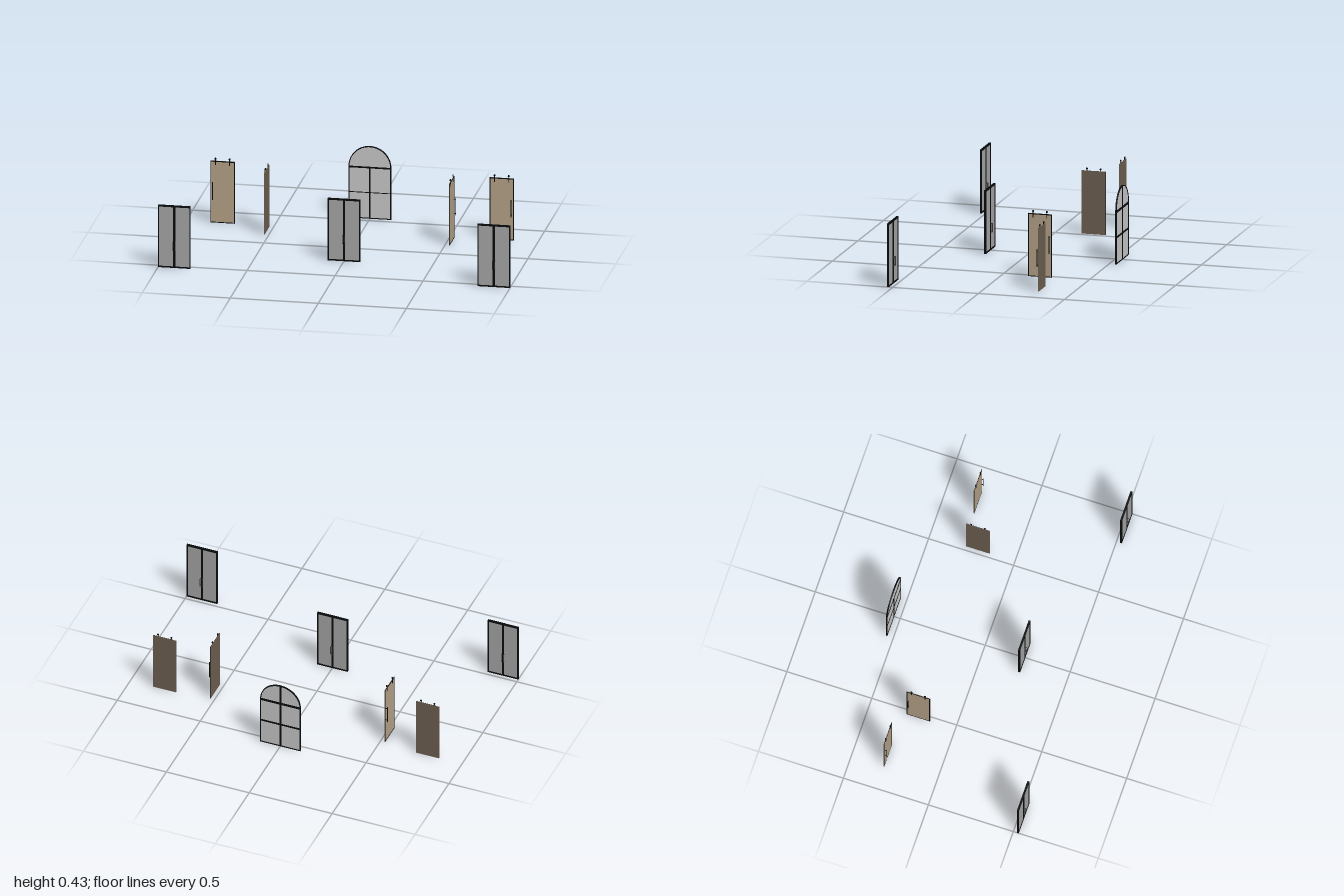
import * as THREE from 'three';

const mat = (name, color, side = THREE.FrontSide) => {
  const m = new THREE.MeshStandardMaterial({ color, side });
  m.name = name;
  return m;
};
const black = mat('black metal', 0x080a0b);
const steel = mat('handle steel', 0x3a3a3a);
const glass = mat('smoked glass', 0xa5a5a5);
const paleGlass = mat('pale glass', 0xc8c8c8);
const wood = mat('light wood', 0xb3a187);
const backWood = mat('dark wood', 0x6d5f50);

function add(group, name, geometry, material, x = 0, y = 0, z = 0) {
  const mesh = new THREE.Mesh(geometry, material);
  mesh.name = name;
  mesh.position.set(x, y, z);
  group.add(mesh);
  return mesh;
}
const box = (group, name, material, w, h, d, x, y, z) =>
  add(group, name, new THREE.BoxGeometry(w, h, d), material, x, y, z);

// Four bars around a rectangle standing on y = 0
function rectFrame(group, name, w, h, side, top, depth, z) {
  for (const s of [-1, 1]) box(group, name + 'Side', black, side, h, depth, s * (w - side) / 2, h / 2, z);
  box(group, name + 'Top', black, w - 2 * side, top, depth, 0, h - top / 2, z);
  box(group, name + 'Bottom', black, w - 2 * side, top * 0.8, depth, 0, top * 0.4, z);
}

// Framed glass double door with pull handles on both faces
function doubleDoor() {
  const g = new THREE.Group();
  g.name = 'doubleDoor';
  const w = 0.184, h = 0.365, depth = 0.011;
  rectFrame(g, 'doorFrame', w, h, 0.006, 0.009, depth, 0);
  box(g, 'centreStile', black, 0.012, h - 0.016, depth, 0, h / 2, 0);
  for (const s of [-1, 1]) {
    box(g, 'glassPane', glass, 0.081, h - 0.016, 0.004, s * 0.0455, h / 2, 0);
    for (const x of [-0.007, 0.007]) {
      box(g, 'pullHandle', steel, 0.003, 0.052, 0.003, x, 0.129, s * 0.0145);
      for (const y of [0.1045, 0.1535])
        box(g, 'handleStandoff', steel, 0.003, 0.003, 0.011, x, y, s * 0.0095);
    }
  }
  return g;
}

// Hanging wooden door; side is the x direction of its handle
function slidingDoor(side) {
  const g = new THREE.Group();
  g.name = 'slidingDoor';
  const w = 0.139, h = 0.363, t = 0.003;
  box(g, 'doorPanel', [backWood, backWood, backWood, backWood, wood, backWood], w, h, t, 0, h / 2, 0);
  rectFrame(g, 'frontTrim', w, h, 0.005, 0.006, 0.001, t / 2 + 0.0005);
  // Roller hangers
  for (const x of [-0.04, 0.04]) {
    box(g, 'hangerStrap', black, 0.004, 0.04, 0.002, x, 0.358, 0.0028);
    const wheel = add(g, 'hangerWheel', new THREE.CylinderGeometry(0.0055, 0.0055, 0.005, 16), black, x, 0.3755, 0.0005);
    wheel.rotation.x = Math.PI / 2;
  }
  // Pull bar
  const x = side * 0.056;
  box(g, 'pullBar', black, 0.005, 0.104, 0.003, x, 0.189, 0.0125);
  for (const y of [0.149, 0.229]) box(g, 'barStandoff', black, 0.003, 0.003, 0.011, x, y, 0.0065);
  return g;
}

function archShape(Type, r, bottom, spring) {
  const s = new Type();
  s.moveTo(-r, bottom);
  s.lineTo(r, bottom);
  s.lineTo(r, spring);
  s.absarc(0, spring, r, 0, Math.PI, false);
  s.lineTo(-r, bottom);
  return s;
}

// Round-topped window with glazing bars, heavier on the back
function archedWindow() {
  const g = new THREE.Group();
  g.name = 'archedWindow';
  const r = 0.121, spring = 0.304, depth = 0.008;
  const extrude = (shape, d) => new THREE.ExtrudeGeometry(shape, { depth: d, bevelEnabled: false, curveSegments: 32 });
  const frame = archShape(THREE.Shape, r, 0, spring);
  frame.holes.push(archShape(THREE.Path, r - 0.005, 0.005, spring));
  add(g, 'archFrame', extrude(frame, depth), black, 0, 0, -depth / 2);
  add(g, 'archGlass', extrude(archShape(THREE.Shape, r - 0.004, 0.004, spring), 0.002), paleGlass, 0, 0, -0.001);
  const inner = 2 * r - 0.008;
  // Front bars
  box(g, 'frontSpringBar', black, inner, 0.009, 0.003, 0, 0.3, 0.0025);
  box(g, 'frontMiddleBar', black, inner, 0.004, 0.003, 0, 0.153, 0.0025);
  box(g, 'frontMullion', black, 0.007, 0.292, 0.003, 0, 0.15, 0.0025);
  // Back bars
  box(g, 'backSpringBar', black, inner, 0.013, 0.003, 0, 0.3, -0.0025);
  box(g, 'backMiddleBar', black, inner, 0.01, 0.003, 0, 0.153, -0.0025);
  box(g, 'backMullion', black, 0.011, 0.416, 0.003, 0, 0.212, -0.0025);
  return g;
}

export function createModel() {
  const model = new THREE.Group();
  model.name = 'doorSet';
  const place = (part, x, z, turn = 0) => {
    part.position.set(x, 0, z);
    part.rotation.y = turn;
    model.add(part);
  };
  place(doubleDoor(), 0, 0.231);
  place(archedWindow(), 0, -0.539);
  for (const s of [-1, 1]) {
    place(doubleDoor(), s * 0.908, 0.527);
    place(slidingDoor(s), s * 0.793, -0.308);
    place(slidingDoor(s), s * 0.525, -0.2175, s * Math.PI / 2);
  }
  return model;
}
